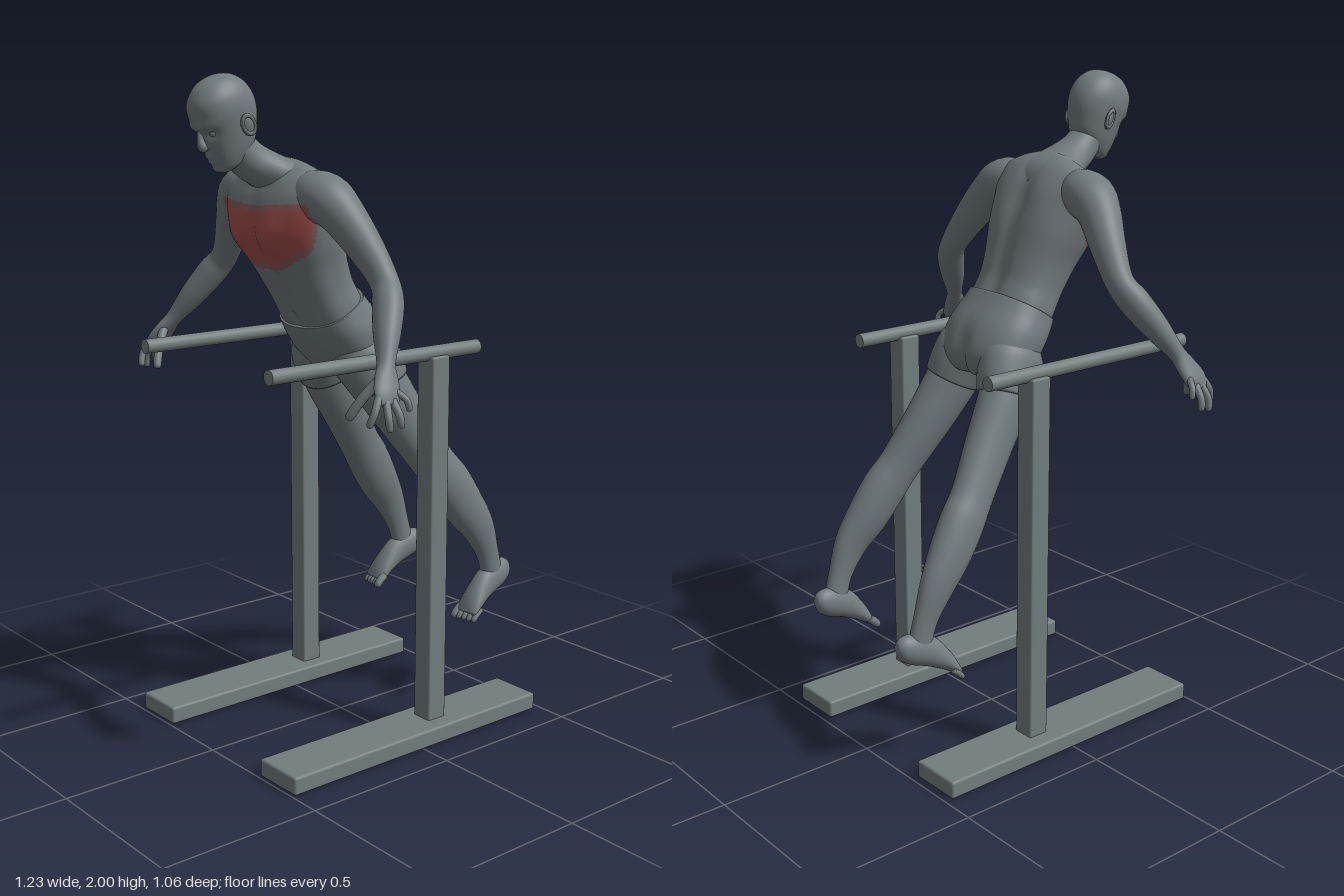
import * as THREE from 'three';
import { RoundedBoxGeometry } from 'three/addons/geometries/RoundedBoxGeometry.js';

const V = (x, y, z) => new THREE.Vector3(x, y, z);
const bell = (d, w) => Math.exp(-(d * d) / (w * w));

// Smoothly resample rows of numbers (Catmull-Rom on every column)
function resample(rows, steps) {
  const out = [], last = rows.length - 1;
  for (let i = 0; i < last; i++) {
    const [a, b, c, d] = [rows[Math.max(i - 1, 0)], rows[i], rows[i + 1], rows[Math.min(i + 2, last)]];
    for (let k = 0; k < steps; k++) {
      const t = k / steps;
      out.push(b.map((_, j) => 0.5 * (2 * b[j] + (c[j] - a[j]) * t
        + (2 * a[j] - 5 * b[j] + 4 * c[j] - d[j]) * t * t
        + (3 * b[j] - a[j] - 3 * c[j] + d[j]) * t * t * t)));
    }
  }
  out.push(rows[last]);
  return out;
}

// Closed skin over rings { c, u, v }, with u x v along the run of the rings
function loft(rings, n, { power = 2, shape, paint } = {}) {
  const pos = [], buckets = [[], [], []];
  const bend = (t) => Math.sign(t) * Math.abs(t) ** (2 / power);
  rings.forEach(({ c, u, v }) => {
    for (let j = 0; j < n; j++) {
      const a = (j / n) * Math.PI * 2, s = Math.sin(a);
      const p = c.clone().addScaledVector(u, bend(Math.cos(a))).addScaledVector(v, bend(s));
      if (shape) shape(p, s);
      pos.push(p.x, p.y, p.z);
    }
  });
  const end = rings.length - 1, first = rings.length * n;
  pos.push(...rings[0].c.toArray(), ...rings[end].c.toArray());
  const at = (i) => V(pos[i * 3], pos[i * 3 + 1], pos[i * 3 + 2]);
  const tri = (a, b, c) => {
    const k = paint ? paint(at(a).add(at(b)).add(at(c)).divideScalar(3)) : 0;
    buckets[k].push(a, b, c);
  };
  for (let j = 0; j < n; j++) {
    const k = (j + 1) % n;
    tri(first, k, j);
    tri(first + 1, end * n + j, end * n + k);
    for (let i = 0; i < end; i++) {
      const a = i * n + j, b = i * n + k;
      tri(a, b, a + n);
      tri(b, b + n, a + n);
    }
  }
  const g = new THREE.BufferGeometry();
  g.setAttribute('position', new THREE.Float32BufferAttribute(pos, 3));
  g.setIndex(buckets.flat());
  let start = 0;
  if (paint) buckets.forEach((b, i) => { g.addGroup(start, b.length, i); start += b.length; });
  g.computeVertexNormals();
  return g;
}

// Limb rows: x, y, z, radius along ref, radius across it; side mirrors x
function limb(rows, ref, side = 1, n = 20, steps = 5, opts) {
  const r = resample(rows.map(([x, ...rest]) => [x * side, ...rest]), steps);
  const at = (i) => V(...r[Math.min(Math.max(i, 0), r.length - 1)].slice(0, 3));
  return loft(r.map((q, i) => {
    const t = at(i + 1).sub(at(i - 1)).normalize();
    const u = ref.clone().addScaledVector(t, -ref.dot(t)).normalize();
    const v = t.clone().cross(u);
    return { c: at(i), u: u.multiplyScalar(q[3]), v: v.multiplyScalar(q[4]) };
  }), n, opts);
}

// Trunk rows: front y, front z, back y, back z, half width
const trunk = (rows, n, steps, opts) => loft(resample(rows, steps).map(([fy, fz, by, bz, w]) => ({
  c: V(0, (fy + by) / 2, (fz + bz) / 2), u: V(w, 0, 0), v: V(0, (by - fy) / 2, (bz - fz) / 2),
})), n, opts);

// Chest muscle area: 0 skin, 1 soft edge, 2 centre
function chestPaint(p) {
  const x = Math.abs(p.x);
  const low = 1.435 + 2.6 * x * x + 0.012 * bell(x, 0.02), high = 1.632 + 0.07 * x;
  const inside = Math.min(p.y - low, high - p.y, 0.205 - x, p.z - 0.235);
  return inside < 0 ? 0 : inside < 0.018 ? 1 : 2;
}

// Chest, abdomen and spine relief
function torsoShape(p, s) {
  const x = Math.abs(p.x);
  if (s < 0) {
    p.z += -s * (0.02 * bell(x - 0.085, 0.06) * bell(p.y - 1.54, 0.06)
      - 0.012 * bell(x, 0.018) * bell(p.y - 1.55, 0.09)
      - 0.006 * bell(x, 0.012) * bell(p.y - 1.36, 0.09)
      - 0.008 * bell(x, 0.012) * bell(p.y - 1.3, 0.012));
  } else {
    p.z += s * (0.014 * bell(x, 0.03) - 0.01 * bell(x - 0.1, 0.05) * bell(p.y - 1.63, 0.07));
  }
}

// Eye sockets, brow, lips and chin
function faceShape(p, s) {
  if (s > -0.2) return;
  const x = Math.abs(p.x);
  p.z += -0.014 * bell(x - 0.032, 0.018) * bell(p.y + 0.005, 0.014)
    + 0.006 * bell(x - 0.025, 0.03) * bell(p.y - 0.022, 0.012)
    + 0.008 * bell(x, 0.025) * (bell(p.y + 0.068, 0.007) + bell(p.y + 0.085, 0.007))
    + 0.006 * bell(x, 0.025) * bell(p.y + 0.112, 0.012);
}

export function createModel() {
  const model = new THREE.Group();
  const mat = (name, color) => new THREE.MeshStandardMaterial({ name, color });
  const skin = mat('grey skin', 0x727b7e), cloth = mat('grey shorts', 0x70797c);
  const steel = mat('grey equipment', 0x737d7e);
  const softRed = mat('soft chest red', 0x875a5a), red = mat('chest red', 0xa04e4c);
  const body = [skin, softRed, red];
  const add = (name, geo, material, parent = model) => {
    const m = new THREE.Mesh(geo, material);
    m.name = name;
    parent.add(m);
    return m;
  };
  const X = V(1, 0, 0), Z = V(0, 0, 1);

  // Torso
  add('torso', trunk([
    [1.22, 0.14, 1.33, -0.03, 0.146], [1.27, 0.168, 1.38, 0, 0.146], [1.34, 0.21, 1.42, 0.02, 0.142],
    [1.42, 0.262, 1.48, 0.04, 0.15], [1.48, 0.298, 1.56, 0.067, 0.17], [1.54, 0.328, 1.63, 0.1, 0.187],
    [1.6, 0.335, 1.69, 0.13, 0.198], [1.65, 0.325, 1.735, 0.165, 0.188],
    [1.685, 0.31, 1.76, 0.2, 0.14], [1.71, 0.3, 1.77, 0.225, 0.08],
  ], 80, 8, { power: 2.4, shape: torsoShape, paint: chestPaint }), body);

  // Shorts around the pelvis, with a cleft at the back
  add('shorts', trunk([
    [1.1, 0.02, 1.12, -0.06, 0.05], [1.12, 0.065, 1.14, -0.11, 0.11], [1.17, 0.11, 1.2, -0.128, 0.165],
    [1.22, 0.145, 1.28, -0.095, 0.172], [1.25, 0.165, 1.345, -0.04, 0.16], [1.262, 0.172, 1.375, -0.015, 0.154],
  ], 48, 5, {
    power: 2.3,
    shape: (p, s) => { if (s > 0) p.z += 0.022 * s * bell(p.x, 0.02) * bell(p.y - 1.18, 0.09); },
  }), cloth);

  // Neck
  add('neck', limb([
    [0, 1.83, 0.41, 0.05, 0.05], [0, 1.765, 0.343, 0.06, 0.056], [0, 1.73, 0.28, 0.09, 0.057],
    [0, 1.695, 0.21, 0.15, 0.06], [0, 1.66, 0.17, 0.14, 0.04],
  ], X, 1, 28), skin);

  // Head, leaning forward
  const head = new THREE.Group();
  head.name = 'head';
  head.position.set(0, 1.87, 0.425);
  head.rotation.x = 0.436;
  model.add(head);
  add('skull', loft(resample([
    [-0.126, 0.026, 0.066, 0.01], [-0.112, 0.043, 0.077, -0.03], [-0.08, 0.058, 0.082, -0.07],
    [-0.04, 0.068, 0.085, -0.093], [0, 0.076, 0.086, -0.109], [0.04, 0.08, 0.089, -0.112],
    [0.08, 0.073, 0.081, -0.1], [0.11, 0.053, 0.053, -0.075], [0.124, 0.03, 0.026, -0.045], [0.128, 0.006, -0.002, -0.015],
  ], 7).map(([y, w, f, b]) => ({ c: V(0, y, (f + b) / 2), u: V(w, 0, 0), v: V(0, 0, (b - f) / 2) })),
  64, { power: 2.15, shape: faceShape }), skin, head);
  add('nose', limb([
    [0, 0.015, 0.08, 0.006, 0.008], [0, -0.01, 0.088, 0.008, 0.011],
    [0, -0.032, 0.093, 0.014, 0.014], [0, -0.045, 0.088, 0.011, 0.008],
  ], X, 1, 16), skin, head);

  for (const side of [1, -1]) {
    const tag = side > 0 ? 'left' : 'right';
    const part = (name, rows, ref, n, opts, material = skin) =>
      add(tag + name, limb(rows, ref, side, n, 5, opts), material);

    // Ear and eye
    const ear = add(tag + 'Ear', new THREE.SphereGeometry(1, 16, 12), skin, head);
    ear.scale.set(0.009, 0.032, 0.019);
    ear.position.set(0.081 * side, -0.02, -0.02);
    ear.rotation.y = -0.35 * side;
    const rim = add(tag + 'EarRim', new THREE.TorusGeometry(0.019, 0.005, 8, 20), skin, head);
    rim.scale.set(0.9, 1.4, 1);
    rim.position.set(0.087 * side, -0.018, -0.022);
    rim.rotation.y = side * (Math.PI / 2 - 0.3);
    const eye = add(tag + 'Eye', new THREE.SphereGeometry(0.011, 14, 10), skin, head);
    eye.position.set(0.03 * side, -0.005, 0.062);

    // Arm with palm
    part('Arm', [
      [0.1, 1.65, 0.225, 0.055, 0.06], [0.15, 1.66, 0.22, 0.073, 0.074], [0.205, 1.652, 0.213, 0.076, 0.074],
      [0.255, 1.613, 0.2, 0.065, 0.064], [0.32, 1.53, 0.175, 0.052, 0.054], [0.385, 1.44, 0.16, 0.041, 0.044],
      [0.43, 1.382, 0.183, 0.044, 0.048], [0.475, 1.31, 0.225, 0.038, 0.041], [0.518, 1.24, 0.265, 0.026, 0.026],
      [0.54, 1.205, 0.282, 0.036, 0.021], [0.565, 1.165, 0.3, 0.042, 0.017], [0.579, 1.138, 0.305, 0.03, 0.01],
    ], Z, 32, { paint: chestPaint }, body);

    // Fingers and thumb: base, knuckle and tip
    [
      [V(0.563, 1.165, 0.327), V(0.575, 1.125, 0.352), V(0.567, 1.09, 0.363)],
      [V(0.573, 1.15, 0.312), V(0.597, 1.11, 0.323), V(0.602, 1.078, 0.322)],
      [V(0.575, 1.15, 0.292), V(0.601, 1.115, 0.289), V(0.607, 1.086, 0.286)],
      [V(0.567, 1.17, 0.273), V(0.594, 1.15, 0.258), V(0.6, 1.125, 0.252)],
      [V(0.535, 1.205, 0.295), V(0.504, 1.15, 0.335), V(0.479, 1.098, 0.36)],
    ].forEach(([a, b, c], i) => {
      const r = i === 4 ? 0.014 : i === 3 ? 0.0095 : 0.011;
      const tip = c.clone().add(c.clone().sub(b).setLength(r * 0.7));
      part(i === 4 ? 'Thumb' : 'Finger' + (i + 1),
        [[a, 1.1], [b, 1], [c, 0.9], [tip, 0.3]].map(([p, k]) => [p.x, p.y, p.z, r * k, r * k]), X, 12);
    });

    // Leg
    part('Leg', [
      [0.112, 1.13, -0.03, 0.07, 0.08], [0.128, 1.075, -0.055, 0.072, 0.088], [0.15, 0.955, -0.133, 0.064, 0.08],
      [0.18, 0.822, -0.222, 0.056, 0.071], [0.195, 0.75, -0.275, 0.058, 0.075], [0.207, 0.665, -0.332, 0.054, 0.071],
      [0.218, 0.585, -0.388, 0.041, 0.058], [0.219, 0.49, -0.432, 0.029, 0.041], [0.217, 0.41, -0.455, 0.029, 0.04],
    ], X, 28);

    // Shorts leg, ending in a hem
    part('ShortsLeg', [
      [0.088, 1.22, 0.015, 0.075, 0.09], [0.098, 1.18, -0.005, 0.088, 0.108], [0.115, 1.13, -0.03, 0.084, 0.106],
      [0.128, 1.08, -0.052, 0.078, 0.096],
    ], X, 32, undefined, cloth);

    // Foot and toes
    part('Foot', [
      [0.211, 0.428, -0.53, 0.012, 0.014], [0.212, 0.425, -0.512, 0.027, 0.035], [0.215, 0.412, -0.475, 0.034, 0.047],
      [0.219, 0.392, -0.425, 0.036, 0.046], [0.223, 0.353, -0.374, 0.042, 0.031],
      [0.225, 0.322, -0.343, 0.045, 0.018], [0.226, 0.312, -0.33, 0.04, 0.01],
    ], X, 24);
    for (let i = 0; i < 5; i++) {
      const x = 0.19 + 0.0185 * i, r = i ? 0.0095 : 0.0135, back = i * 0.004;
      part('Toe' + (i + 1), [
        [x, 0.325, -0.348 - back, r, r], [x, 0.31, -0.328 - back, r, r],
        [x, 0.297, -0.316 - back, r, r * 0.9], [x, 0.29, -0.31 - back, r * 0.4, r * 0.4],
      ], X, 12);
    }

    // Dip bar stand: base, post and rail
    const base = add(tag + 'Base', new RoundedBoxGeometry(0.17, 0.055, 0.97, 2, 0.008), steel);
    base.position.set(0.315 * side, 0.0275, 0.007);
    const post = add(tag + 'Post', new RoundedBoxGeometry(0.07, 1.15, 0.068, 2, 0.006), steel);
    post.position.set(0.312 * side, 0.615, -0.1);
    const rail = add(tag + 'Rail', new THREE.CylinderGeometry(0.022, 0.022, 0.78, 24), steel);
    rail.rotation.x = Math.PI / 2;
    rail.position.set(0.312 * side, 1.197, 0.117);
  }
  return model;
}
